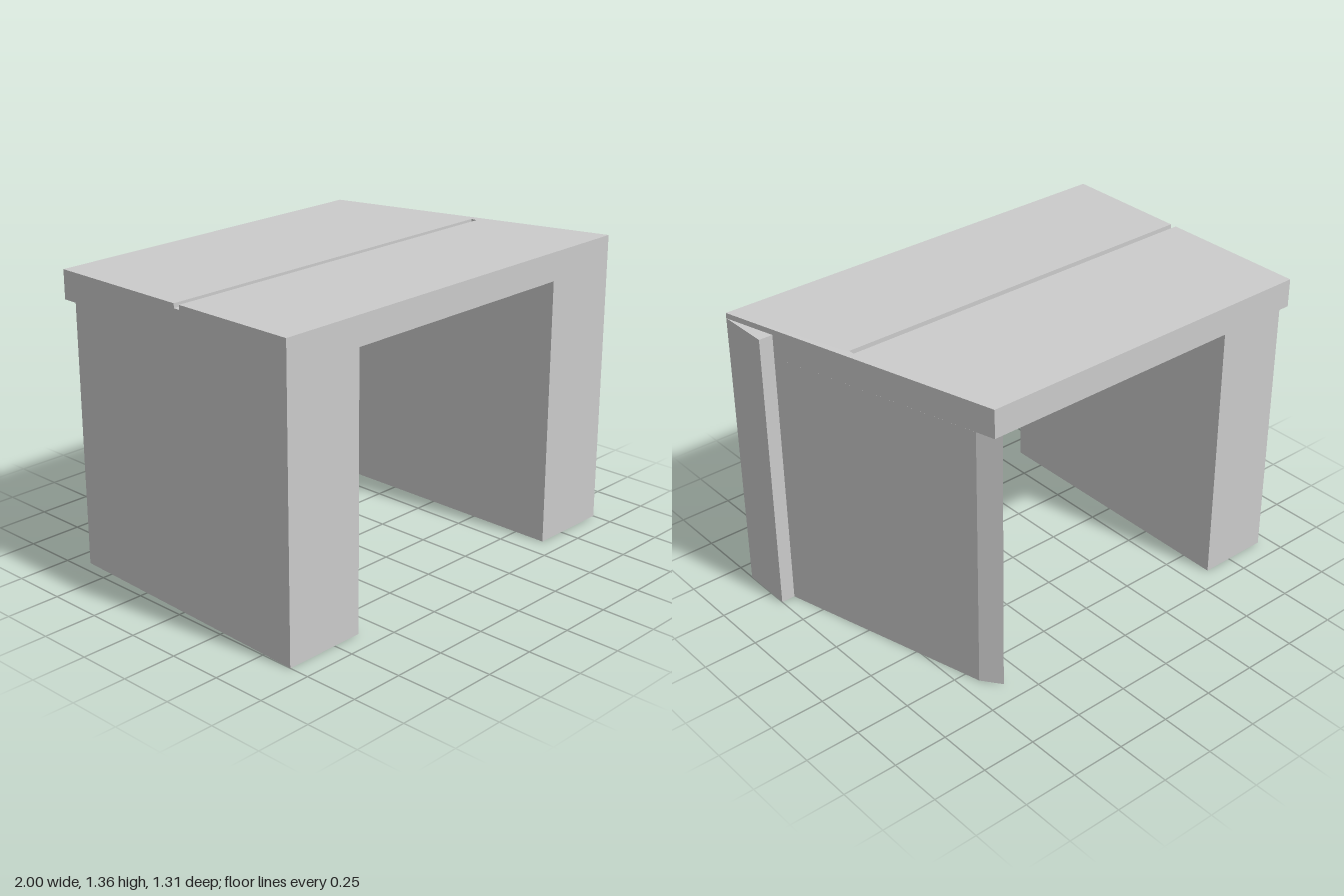
import * as THREE from 'three';

const material = new THREE.MeshStandardMaterial({ color: 0xcccccc, flatShading: true });

// Vertical prism from a plan outline of [x, z] points, between heights y0 and y1
function prism(name, plan, y0, y1) {
  const shape = new THREE.Shape(plan.map(([x, z]) => new THREE.Vector2(x, -z)));
  const geometry = new THREE.ExtrudeGeometry(shape, { depth: y1 - y0, bevelEnabled: false });
  geometry.rotateX(-Math.PI / 2).translate(0, y0, 0);
  const mesh = new THREE.Mesh(geometry, material);
  mesh.name = name;
  return mesh;
}

export function createModel() {
  const group = new THREE.Group();
  group.name = 'portalShelter';

  const front = 0.655, back = -0.655;
  const under = 1.23, grooveFloor = 1.34, top = 1.36;
  const backRight = [0.65, back], frontRight = [1, front];

  // Roof: solid slab with a slanted side
  group.add(prism('roofSlab',
    [[-1, front], frontRight, backRight, [-1, back]], under, grooveFloor));

  // Thin top layer, cut by a groove open at the straight side
  group.add(prism('roofTop',
    [[-1, front], frontRight, backRight, [-1, back],
      [-1, 0.035], [0.8, 0.035], [0.8, 0.065], [-1, 0.065]], grooveFloor, top));

  // Wall on the straight side, thinning slightly toward the back
  group.add(prism('straightWall',
    [[-1, front], [-0.61, front], [-0.61, back], [-0.947, back]], 0, under));

  // Wall following the slant, with a chamfered back end
  group.add(prism('slantedWall',
    [[0.61, front], frontRight, [0.673, -0.57], [0.61, back]], 0, under));

  // Wedge that squares off the front corner of the slanted wall
  group.add(prism('cornerWedge',
    [frontRight, [1, 0.412], [0.935, 0.412]], 0, 1.335));

  return group;
}
